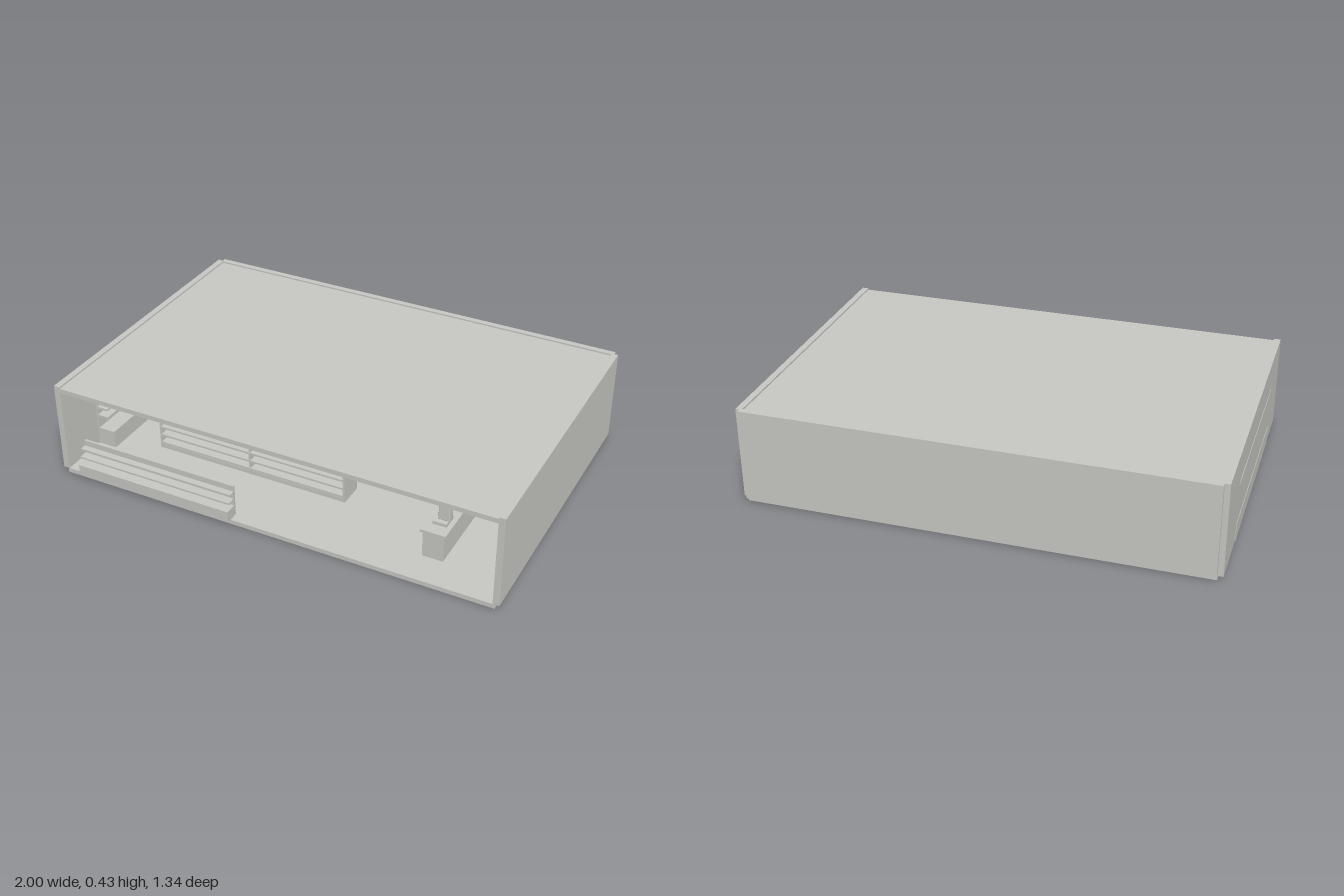
import * as THREE from 'three';
import { RoundedBoxGeometry } from 'three/addons/geometries/RoundedBoxGeometry.js';

const FLOOR = 0.02;

export function createModel() {
  const grey = new THREE.MeshStandardMaterial({ color: 0xc8c8c4 });
  grey.name = 'pale grey';

  const root = new THREE.Group();
  root.name = 'shopInterior';

  function group(name) {
    const g = new THREE.Group();
    g.name = name;
    root.add(g);
    return g;
  }

  // Box given by its extents along each axis
  function box(parent, name, x0, x1, y0, y1, z0, z1, radius = 0) {
    const w = x1 - x0, h = y1 - y0, d = z1 - z0;
    const geo = radius
      ? new RoundedBoxGeometry(w, h, d, 2, radius)
      : new THREE.BoxGeometry(w, h, d);
    const mesh = new THREE.Mesh(geo, grey);
    mesh.name = name;
    mesh.position.set((x0 + x1) / 2, (y0 + y1) / 2, (z0 + z1) / 2);
    parent.add(mesh);
    return mesh;
  }

  // Room shell, open at the front
  const shell = group('roomShell');
  box(shell, 'floor', -0.975, 0.98, 0, FLOOR, -0.655, 0.65);
  box(shell, 'ceiling', -0.97, 0.97, 0.397, 0.418, -0.65, 0.65);
  box(shell, 'backWall', -0.975, 0.98, FLOOR, 0.425, -0.673, -0.647);
  for (const s of [-1, 1]) {
    const a = s * 0.97, b = s * 0.998;
    box(shell, s > 0 ? 'leftWall' : 'rightWall', Math.min(a, b), Math.max(a, b), FLOOR, 0.425, -0.655, 0.65);
  }

  // Low stepped display across the entrance
  const front = group('entranceDisplay');
  box(front, 'base', -0.9, -0.17, FLOOR, 0.07, 0.607, 0.67);
  box(front, 'backPanel', -0.9, -0.17, 0.07, 0.165, 0.607, 0.617);
  [[0.1, 0.655], [0.135, 0.645]].forEach(([y, z]) =>
    box(front, 'shelf', -0.9, -0.17, y - 0.004, y + 0.004, 0.617, z));

  // Double-sided aisle shelving with two bays
  function aisle(z) {
    const g = group('aisleShelving');
    g.position.z = z;
    const top = 0.212;
    box(g, 'spine', -0.71, 0.19, FLOOR, top, -0.008, 0.008);
    box(g, 'plinth', -0.7, 0.18, FLOOR, 0.04, -0.055, 0.055);
    for (const x of [-0.705, -0.26, 0.185]) {
      box(g, 'upright', x - 0.005, x + 0.005, FLOOR, top, -0.056, 0.056);
    }
    for (let i = 0; i < 5; i++) {
      const y = 0.045 + i * 0.0395;
      box(g, 'shelf', -0.7, 0.18, y, y + 0.009, -0.06, 0.06);
    }
  }
  aisle(0.28);
  aisle(-0.03);

  // Tall shelving on the back wall: nine bays below a header
  const rear = group('rearShelving');
  box(rear, 'backPanel', -0.93, 0.33, FLOOR, 0.32, -0.647, -0.635);
  box(rear, 'header', -0.93, 0.33, 0.32, 0.357, -0.645, -0.53);
  box(rear, 'plinth', -0.93, 0.33, FLOOR, 0.05, -0.645, -0.53);
  for (let i = 0; i <= 9; i++) {
    const x = -0.93 + i * 0.14;
    box(rear, 'upright', x - 0.004, x + 0.004, FLOOR, 0.32, -0.64, -0.54);
  }
  for (let y = 0.06; y < 0.31; y += 0.038) {
    box(rear, 'shelf', -0.928, 0.328, y, y + 0.007, -0.64, -0.535);
  }

  // Side wall shelving with a deep base
  const side = group('sideShelving');
  box(side, 'base', -1, -0.885, FLOOR, 0.1, -0.4, 0.43);
  box(side, 'backPanel', -0.972, -0.962, 0.1, 0.285, -0.4, 0.43);
  box(side, 'topShelf', -1, -0.91, 0.278, 0.286, -0.4, 0.43);
  for (const y of [0.16, 0.2, 0.24]) {
    box(side, 'shelf', -0.97, -0.91, y, y + 0.008, -0.4, 0.43);
  }

  // Appliances along the back wall
  const appliances = group('appliances');
  box(appliances, 'tallCabinet', 0.36, 0.435, FLOOR, 0.22, -0.64, -0.55);
  box(appliances, 'cabinetTop', 0.357, 0.438, 0.226, 0.25, -0.64, -0.545, 0.006);
  box(appliances, 'cabinetNeck', 0.365, 0.43, 0.22, 0.226, -0.635, -0.555);
  box(appliances, 'lowChest', 0.37, 0.535, FLOOR, 0.12, -0.5, -0.4, 0.005);
  box(appliances, 'chest', 0.46, 0.575, FLOOR, 0.146, -0.64, -0.54, 0.005);

  // Rear door
  const door = group('rearDoor');
  box(door, 'doorPanel', 0.605, 0.73, FLOOR, 0.278, -0.647, -0.63, 0.006);

  // Checkout counter with two tills
  const checkout = group('checkout');
  box(checkout, 'counterBody', 0.615, 0.705, FLOOR, 0.14, 0.1, 0.505);
  box(checkout, 'counterTop', 0.605, 0.715, 0.14, 0.152, 0.09, 0.515);
  for (const z of [0.43, 0.24]) {
    box(checkout, 'tillBase', 0.635, 0.695, 0.152, 0.166, z - 0.04, z + 0.03);
    box(checkout, 'tillScreen', 0.65, 0.698, 0.166, 0.232, z - 0.025, z + 0.01, 0.004);
  }

  // Seat and ledge beside the side wall
  const corner = group('sideLedge');
  box(corner, 'ledge', 0.935, 0.972, 0.13, 0.14, 0.05, 0.4);
  box(corner, 'ledgeFront', 0.935, 0.945, FLOOR, 0.13, 0.05, 0.4);
  box(corner, 'seatBase', 0.885, 0.93, FLOOR, 0.075, 0.2, 0.26);
  box(corner, 'seat', 0.878, 0.932, 0.075, 0.11, 0.19, 0.27, 0.006);
  box(corner, 'seatBack', 0.925, 0.932, 0.11, 0.215, 0.2, 0.26);

  return root;
}
